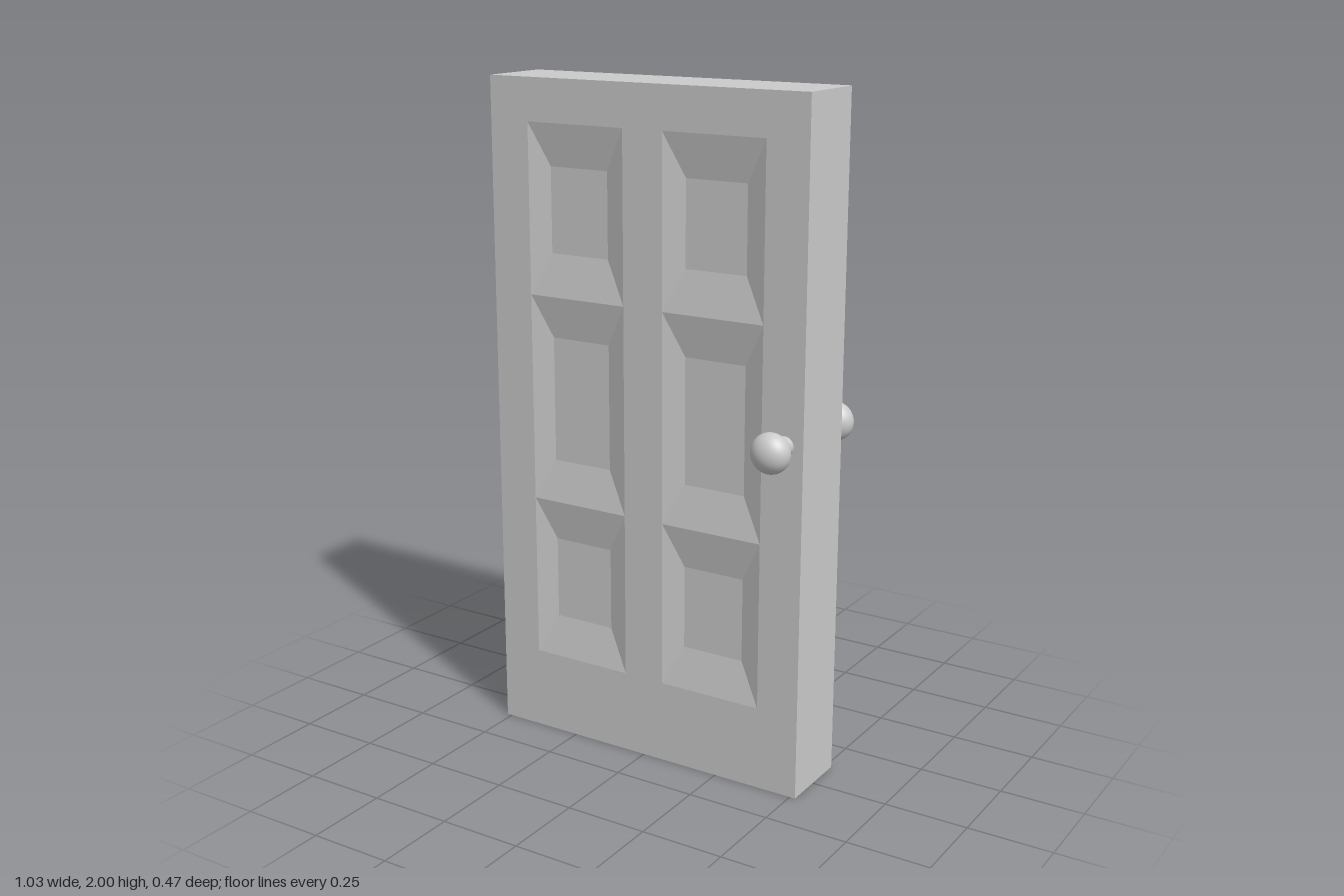
import * as THREE from 'three';

const material = new THREE.MeshStandardMaterial({ color: 0xcccccc });
const flat = new THREE.MeshStandardMaterial({ color: 0xcccccc, flatShading: true });

const WIDTH = 1.034, HEIGHT = 2, FRONT = 0.109, BACK = -0.12, CELLS = 16;

function add(parent, name, geometry, mat) {
  const mesh = new THREE.Mesh(geometry, mat);
  mesh.name = name;
  parent.add(mesh);
  return mesh;
}

// One face of the door: a grid whose vertices inside each panel are pushed in.
// Panels are [bottom, top] grid rows for the face's left and right columns.
function panelledFace(leftPanels, rightPanels, depth) {
  const geometry = new THREE.PlaneGeometry(WIDTH, HEIGHT, CELLS, CELLS);
  const n = CELLS + 1;
  const sunk = (k) => {
    const col = k % n, row = CELLS - Math.floor(k / n);
    const inside = ([bottom, top]) => row > bottom && row < top;
    return (col > 2 && col < 7 && leftPanels.some(inside)) ||
      (col > 9 && col < 14 && rightPanels.some(inside));
  };
  const position = geometry.attributes.position;
  for (let k = 0; k < position.count; k++) if (sunk(k)) position.setZ(k, -depth);

  // Mitre the panel corners by running the diagonal through the inner vertex.
  const index = [];
  for (let r = 0; r < CELLS; r++) {
    for (let c = 0; c < CELLS; c++) {
      const tl = r * n + c, tr = tl + 1, bl = tl + n, br = bl + 1;
      if (sunk(tl) !== sunk(tr) && sunk(tl) !== sunk(bl) || sunk(br) !== sunk(tr) && sunk(br) !== sunk(bl)) {
        index.push(tl, bl, br, tl, br, tr);
      } else {
        index.push(tl, bl, tr, bl, br, tr);
      }
    }
  }
  geometry.setIndex(index);
  const faceted = geometry.toNonIndexed();
  faceted.computeVertexNormals();
  return faceted;
}

export function createModel() {
  const model = new THREE.Group();
  model.name = 'panelDoor';

  // Door leaf: two panelled faces and four plain edges
  const door = new THREE.Group();
  door.name = 'doorLeaf';
  model.add(door);
  const even = [[2, 6], [6, 11], [11, 15]];
  const spaced = [[2, 6], [6, 10], [11, 15]];

  const front = add(door, 'frontFace', panelledFace(even, even, 0.02), flat);
  front.position.set(0, HEIGHT / 2, FRONT);
  const back = add(door, 'backFace', panelledFace(even, spaced, 0.037), flat);
  back.position.set(0, HEIGHT / 2, BACK);
  back.rotation.y = Math.PI;

  const thickness = FRONT - BACK, middle = (FRONT + BACK) / 2;
  for (const side of [1, -1]) {
    const edge = add(door, side > 0 ? 'leftEdge' : 'rightEdge', new THREE.PlaneGeometry(thickness, HEIGHT), flat);
    edge.position.set(side * WIDTH / 2, HEIGHT / 2, middle);
    edge.rotation.y = side * Math.PI / 2;
    const end = add(door, side > 0 ? 'topEdge' : 'bottomEdge', new THREE.PlaneGeometry(WIDTH, thickness), flat);
    end.position.set(0, side > 0 ? HEIGHT : 0, middle);
    end.rotation.x = -side * Math.PI / 2;
  }

  // A knob on a short neck on each face
  for (const side of [1, -1]) {
    const knob = new THREE.Group();
    knob.name = side > 0 ? 'frontKnob' : 'backKnob';
    knob.position.set(0.459, 1.048, 0);
    model.add(knob);
    const neck = add(knob, 'knobNeck', new THREE.CylinderGeometry(0.029, 0.029, 0.08, 32), material);
    neck.rotation.x = Math.PI / 2;
    neck.position.z = side * 0.14;
    const ball = add(knob, 'knobBall', new THREE.SphereGeometry(0.058, 32, 24), material);
    ball.scale.z = 0.81;
    ball.position.z = side > 0 ? 0.187 : -0.19;
  }
  return model;
}
